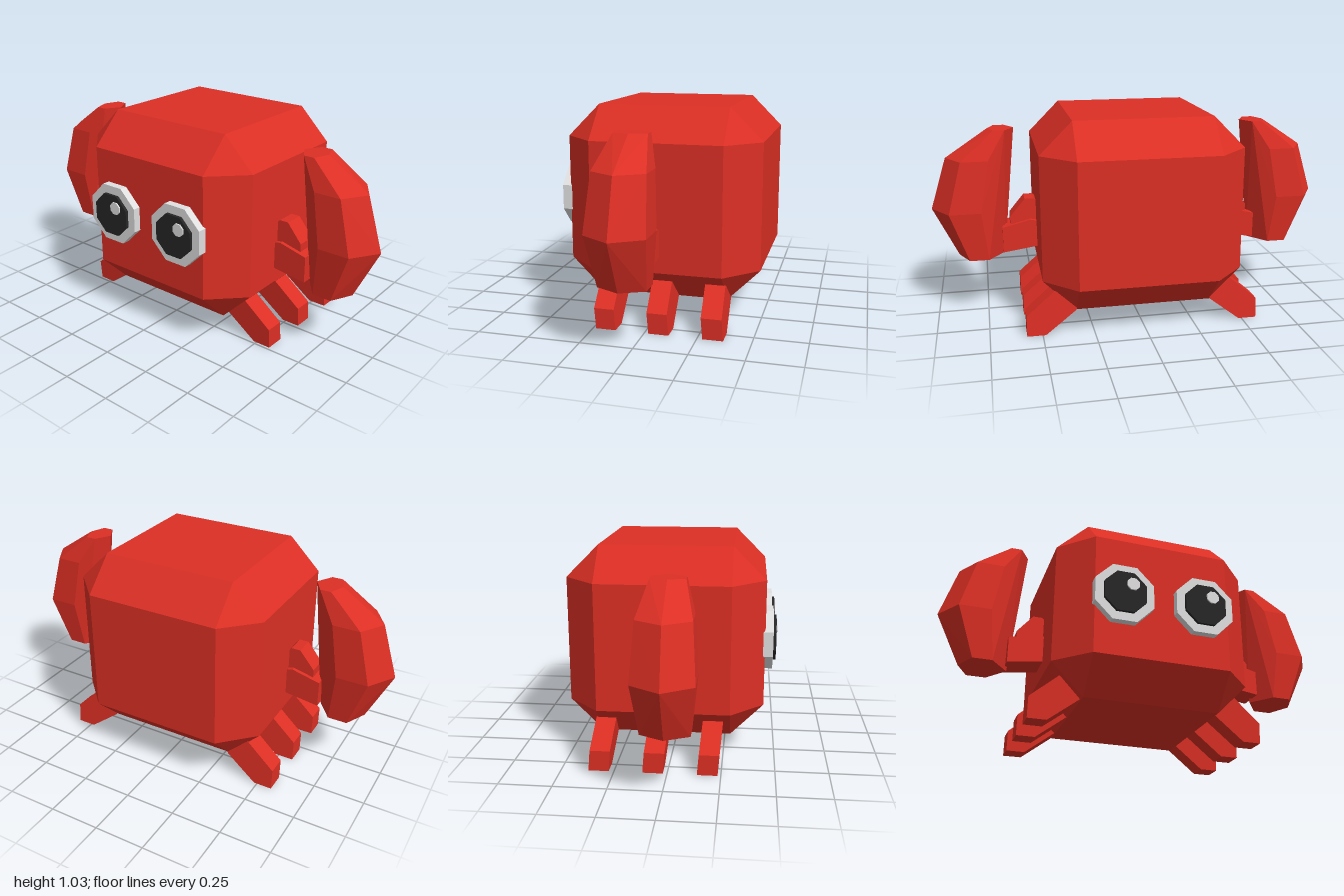
import * as THREE from 'three';
import { ConvexGeometry } from 'three/addons/geometries/ConvexGeometry.js';

function material(name, color) {
  const m = new THREE.MeshStandardMaterial({ color });
  m.name = name;
  return m;
}

function add(parent, name, geometry, mat) {
  const mesh = new THREE.Mesh(geometry, mat);
  mesh.name = name;
  parent.add(mesh);
  return mesh;
}

// Box with every edge bevelled by b
function bevelledBox(min, max, b) {
  const points = [];
  for (let i = 0; i < 8; i++) {
    const high = [i & 1, i & 2, i & 4];
    for (let axis = 0; axis < 3; axis++) {
      points.push(new THREE.Vector3(...high.map((h, k) => {
        const inset = k === axis ? 0 : b;
        return h ? max[k] - inset : min[k] + inset;
      })));
    }
  }
  return new ConvexGeometry(points);
}

// Front-view outline extruded from z0 to z1, mirrored by side
function slab(outline, side, z0, z1) {
  const shape = new THREE.Shape(outline.map(([x, y]) => new THREE.Vector2(x * side, y)));
  const g = new THREE.ExtrudeGeometry(shape, { depth: z1 - z0, bevelEnabled: false });
  return g.translate(0, 0, z0);
}

// Flat-faced octagonal disc facing +z
function octagon(halfWidth, z0, z1) {
  const r = halfWidth / Math.cos(Math.PI / 8);
  const g = new THREE.CylinderGeometry(r, r, z1 - z0, 8).rotateY(Math.PI / 8).rotateX(Math.PI / 2);
  g.translate(0, 0, (z0 + z1) / 2);
  const flat = g.toNonIndexed();
  flat.computeVertexNormals();
  return flat;
}

// Claw from hexagonal rings: y, inner x, outer x, half depth
function claw(side) {
  const rings = [
    [0.945, 0.583, 0.71, 0.078],
    [0.805, 0.60, 0.92, 0.12],
    [0.55, 0.625, 1.0, 0.136],
    [0.30, 0.65, 0.88, 0.11],
  ];
  const section = [[0, 0], [0.36, 1], [0.77, 1], [1, 0], [0.77, -1], [0.36, -1]];
  const points = [];
  for (const [y, x0, x1, w] of rings) {
    for (const [t, d] of section) {
      points.push(new THREE.Vector3(side * (x0 + (x1 - x0) * t), y, 0.02 + d * w));
    }
  }
  return new ConvexGeometry(points);
}

// Bent leg, leaning slightly forward towards its top
function leg(side, z) {
  const outline = [[0.485, 0], [0.575, 0], [0.575, 0.1], [0.44, 0.215], [0.30, 0.215], [0.335, 0.115]];
  const g = slab(outline, side, z - 0.048, z + 0.048);
  const p = g.attributes.position;
  for (let i = 0; i < p.count; i++) p.setZ(i, p.getZ(i) + 0.08 * p.getY(i));
  g.computeVertexNormals();
  return g;
}

export function createModel() {
  const model = new THREE.Group();
  model.name = 'crab';
  const red = material('shellRed', 0xdc2f24);
  const white = material('eyeWhite', 0xe0e0e0);
  const black = material('pupilBlack', 0x262626);

  add(model, 'body', bevelledBox([-0.49, 0.11, -0.5], [0.49, 1.03, 0.44], 0.156), red);

  for (const side of [1, -1]) {
    const label = side > 0 ? 'left' : 'right';

    // Eye with pupil and glint (both glints sit towards +x)
    const eye = new THREE.Group();
    eye.name = label + 'Eye';
    eye.position.set(side * 0.2, 0.57, 0);
    add(eye, 'eyeball', octagon(0.143, 0.43, 0.478), white);
    add(eye, 'pupil', octagon(0.102, 0.47, 0.493), black);
    add(eye, 'glint', octagon(0.03, 0.492, 0.5), white).position.set(0.035, 0.042, 0);
    model.add(eye);

    // Arm in two segments carrying the claw
    const arm = new THREE.Group();
    arm.name = label + 'Arm';
    add(arm, 'upperArm', slab([[0.45, 0.44], [0.62, 0.44], [0.62, 0.5], [0.545, 0.59], [0.5, 0.59], [0.45, 0.54]],
      side, -0.03, 0.07), red);
    add(arm, 'lowerArm', slab([[0.45, 0.35], [0.66, 0.32], [0.66, 0.45], [0.52, 0.485], [0.45, 0.47]],
      side, -0.05, 0.09), red);
    add(arm, 'claw', claw(side), red);
    model.add(arm);

    // Three legs
    ['front', 'middle', 'back'].forEach((row, i) => {
      add(model, label + row[0].toUpperCase() + row.slice(1) + 'Leg', leg(side, 0.187 - i * 0.255), red);
    });
  }
  return model;
}
